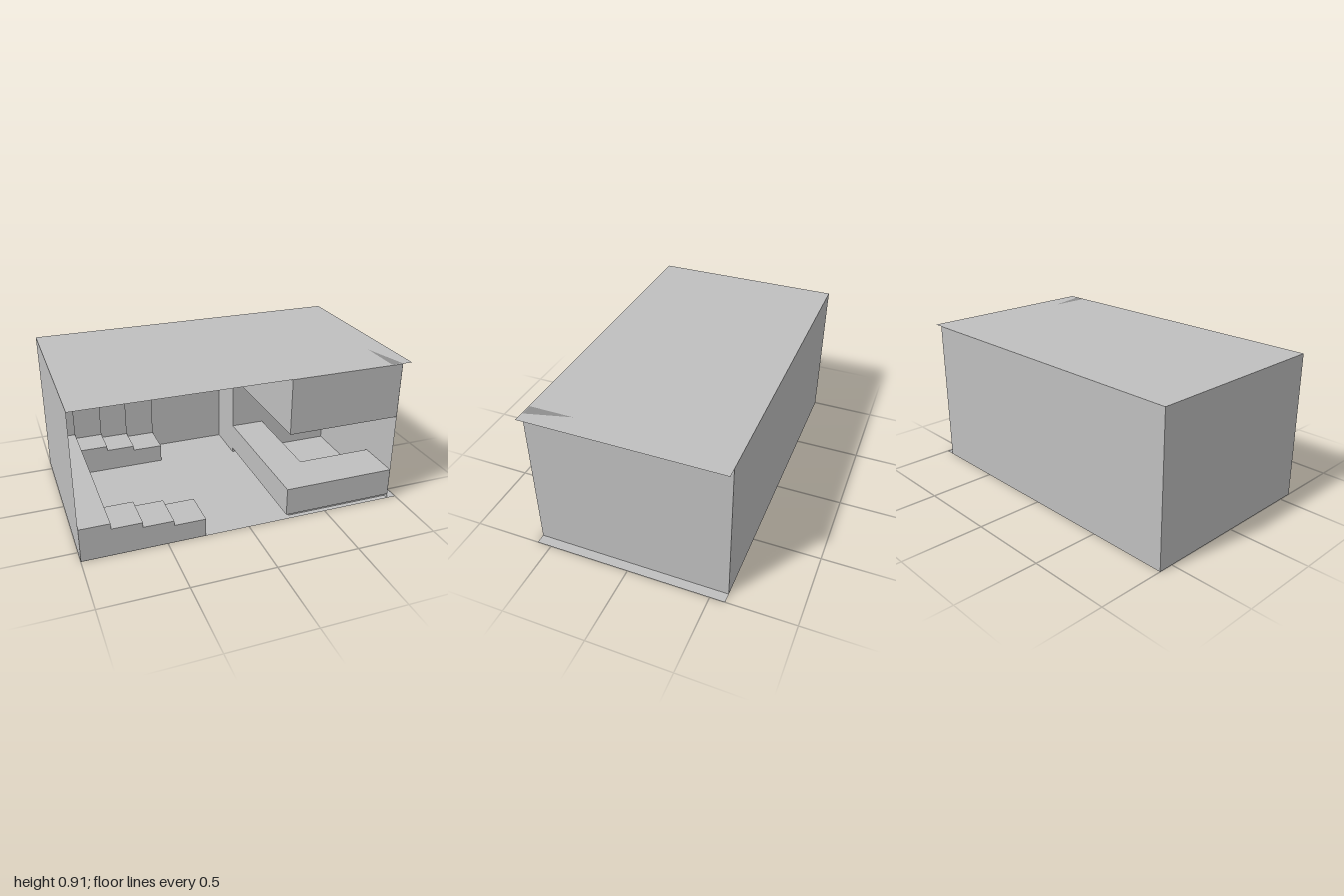
import * as THREE from 'three';

const W = 1, D = 0.59, H = 0.91, WALL = 0.94, E = 0.001;

export function createModel() {
  const room = new THREE.Group();
  room.name = 'room';
  const grey = new THREE.MeshStandardMaterial({ color: 0xbfbfbf, side: THREE.DoubleSide });
  grey.name = 'plain grey';
  const darkGrey = new THREE.MeshStandardMaterial({ color: 0x8f8f8f, side: THREE.DoubleSide });
  darkGrey.name = 'dark grey';

  const add = (name, geometry, material = grey) => {
    const mesh = new THREE.Mesh(geometry, material);
    mesh.name = name;
    room.add(mesh);
    return mesh;
  };
  // Box given by its limits on each axis
  const block = (name, x0, x1, y0, y1, z0, z1) =>
    add(name, new THREE.BoxGeometry(x1 - x0, y1 - y0, z1 - z0))
      .position.set((x0 + x1) / 2, (y0 + y1) / 2, (z0 + z1) / 2);
  // Floor plan outline (x, z) raised from y0 to y1
  const raisedPlan = (name, points, y0, y1) => {
    const shape = new THREE.Shape(points.map(([x, z]) => new THREE.Vector2(x, -z)));
    const geometry = new THREE.ExtrudeGeometry(shape, { depth: y1 - y0, bevelEnabled: false });
    add(name, geometry.rotateX(-Math.PI / 2).translate(0, y0, 0));
  };

  // Thin shell: the floor and ceiling overhang the wall on the left
  for (const [name, y] of [['floor', 0], ['ceiling', H]]) {
    add(name, new THREE.PlaneGeometry(2 * W, 2 * D).rotateX(-Math.PI / 2)).position.y = y;
  }
  for (const [name, x] of [['rightWall', -W], ['leftWall', WALL]]) {
    add(name, new THREE.PlaneGeometry(2 * D, H).rotateY(Math.PI / 2)).position.set(x, H / 2, 0);
  }
  add('backWall', new THREE.PlaneGeometry(W + WALL, H).rotateY(Math.PI))
    .position.set((WALL - W) / 2, H / 2, -D);

  // Long bench, with descending steps at its front and back ends
  const edges = [-1, -0.82, -0.64, -0.46, -0.27];
  const heights = [0.21, 0.175, 0.145, 0.115];
  block('bench', edges[0] + E, edges[1], E, heights[0], -D + E, D);
  for (let i = 1; i < 4; i++) {
    block('frontStep', edges[i], edges[i + 1], E, heights[i], 0.36, D);
    block('backStep', edges[i], edges[i + 1], E, heights[i], -D + E, -0.36);
  }

  // Shallow panels above the back steps, and the bulkhead over them
  for (let i = 0; i < 4; i++) {
    block('backPanel', edges[i] + (i ? 0 : E), edges[i + 1], heights[i], 0.57, -D + E, -0.537 - i * 0.012);
  }
  block('backBulkhead', -W + E, 0.24, 0.57, H - E, -D + E, -0.36);

  // Counter wrapping round a work area, on a recessed plinth
  const right = WALL - E, back = -0.31;
  const wrap = (inset) => [
    [0.24 + inset, D - inset], [right, D - inset], [right, 0.31 + inset], [0.46 - inset, 0.31 + inset],
    [0.46 - inset, back], [0.24 + inset, back],
  ];
  raisedPlan('counter', wrap(0), 0.03, 0.205);
  raisedPlan('counterPlinth', wrap(0.03), E, 0.03);
  raisedPlan('counterBulkhead', wrap(0), 0.57, H - E);
  block('tallCabinet', 0.24, right, E, H - E, -D + E, back);

  // Small wedge-shaped patch on the ceiling
  const patch = new THREE.Shape([[0.87, -0.32], [0.87, -0.585], [0.94, -0.585]].map((p) => new THREE.Vector2(...p)));
  add('ceilingPatch', new THREE.ShapeGeometry(patch).rotateX(-Math.PI / 2), darkGrey).position.y = H + E;

  return room;
}
